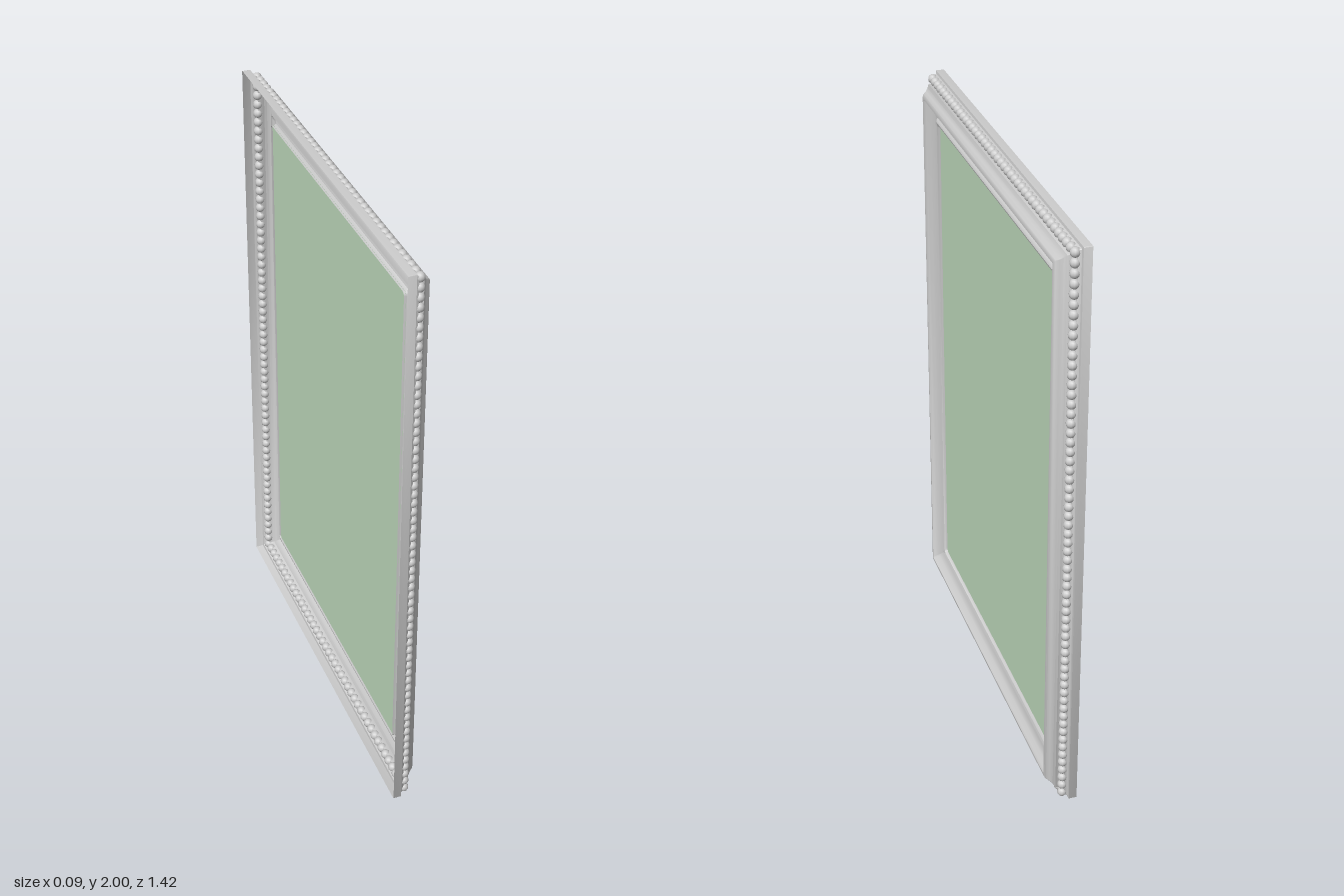
import * as THREE from 'three';
import { mergeGeometries, toCreasedNormals } from 'three/addons/utils/BufferGeometryUtils.js';

const HALF_Y = 1, HALF_Z = 0.71;
const CORNER_STEPS = 4;

// Moulding section: [inset from the outer edge, x, corner radius]
const PROFILE = [
  [0, -0.047, 0.003], [0, -0.02, 0.003], [0.008, -0.018, 0.003],
  [0.012, -0.008, 0.003], [0.03, -0.004, 0.003], [0.032, 0.016, 0.003],
  [0.042, 0.022, 0.003], [0.05, 0.031, 0.003], [0.056, 0.041, 0.003],
  [0.062, 0.045, 0.003], [0.07, 0.045, 0.003], [0.076, 0.038, 0.004],
  [0.086, 0.026, 0.005], [0.1, 0.016, 0.007], [0.116, 0.012, 0.012],
  [0.12, 0.018, 0.014], [0.127, 0.021, 0.014], [0.135, 0.018, 0.013],
  [0.139, 0.011, 0.012], [0.139, 0.002, 0.012],
];

// Rounded rectangle in the (z, y) plane
function outline(inset, radius) {
  const points = [];
  const centres = [[1, 1], [-1, 1], [-1, -1], [1, -1]];
  centres.forEach(([sz, sy], c) => {
    for (let i = 0; i <= CORNER_STEPS; i++) {
      const a = (c + i / CORNER_STEPS) * Math.PI / 2;
      points.push([
        sz * (HALF_Z - inset - radius) + radius * Math.cos(a),
        sy * (HALF_Y - inset - radius) + radius * Math.sin(a),
      ]);
    }
  });
  return points;
}

// Sweep the section around the rectangle
function mouldingGeometry() {
  const positions = [], index = [];
  const n = 4 * (CORNER_STEPS + 1);
  PROFILE.forEach(([inset, x, radius], k) => {
    for (const [z, y] of outline(inset, radius)) positions.push(x, y + HALF_Y, z);
    if (k === 0) return;
    for (let i = 0; i < n; i++) {
      const j = (i + 1) % n, a = (k - 1) * n, b = k * n;
      index.push(a + i, b + i, a + j, a + j, b + i, b + j);
    }
  });
  const geometry = new THREE.BufferGeometry();
  geometry.setAttribute('position', new THREE.Float32BufferAttribute(positions, 3));
  geometry.setIndex(index);
  // Outer faces must look away from the middle
  geometry.computeVertexNormals();
  if (geometry.attributes.normal.getZ(0) < 0) {
    geometry.setIndex(index.map((_, i) => index[i - (i % 3) + 2 - (i % 3)]));
  }
  return toCreasedNormals(geometry, 0.6);
}

// One row of beads per side, all merged
function beadGeometry() {
  const bead = new THREE.SphereGeometry(0.016, 10, 8);
  const zs = HALF_Z - 0.021, ys = HALF_Y - 0.021;
  const list = [];
  const add = (z, y) => list.push(bead.clone().translate(-0.003, y + HALF_Y, z));
  const nz = Math.round(2 * zs / 0.032), ny = Math.round(2 * ys / 0.032);
  for (const s of [-1, 1]) {
    for (let i = 0; i <= nz; i++) add(-zs + 2 * zs * i / nz, s * ys);
    for (let i = 1; i < ny; i++) add(s * zs, -ys + 2 * ys * i / ny);
  }
  return mergeGeometries(list);
}

export function createModel() {
  const group = new THREE.Group();
  group.name = 'pictureFrame';
  const grey = new THREE.MeshStandardMaterial({ color: 0xcccccc, side: THREE.DoubleSide });
  const green = new THREE.MeshStandardMaterial({ color: 0xc0dcbe, side: THREE.DoubleSide });

  const add = (name, geometry, material) => {
    const mesh = new THREE.Mesh(geometry, material);
    mesh.name = name;
    group.add(mesh);
    return mesh;
  };

  add('frameMoulding', mouldingGeometry(), grey);
  add('beadTrim', beadGeometry(), grey);

  // Flat panel inside the lip, facing +x
  const shape = new THREE.Shape(outline(0.138, 0.012).map(([z, y]) => new THREE.Vector2(-z, y)));
  const panel = new THREE.ShapeGeometry(shape).rotateY(Math.PI / 2).translate(0.008, HALF_Y, 0);
  add('picturePanel', panel, green);
  return group;
}
